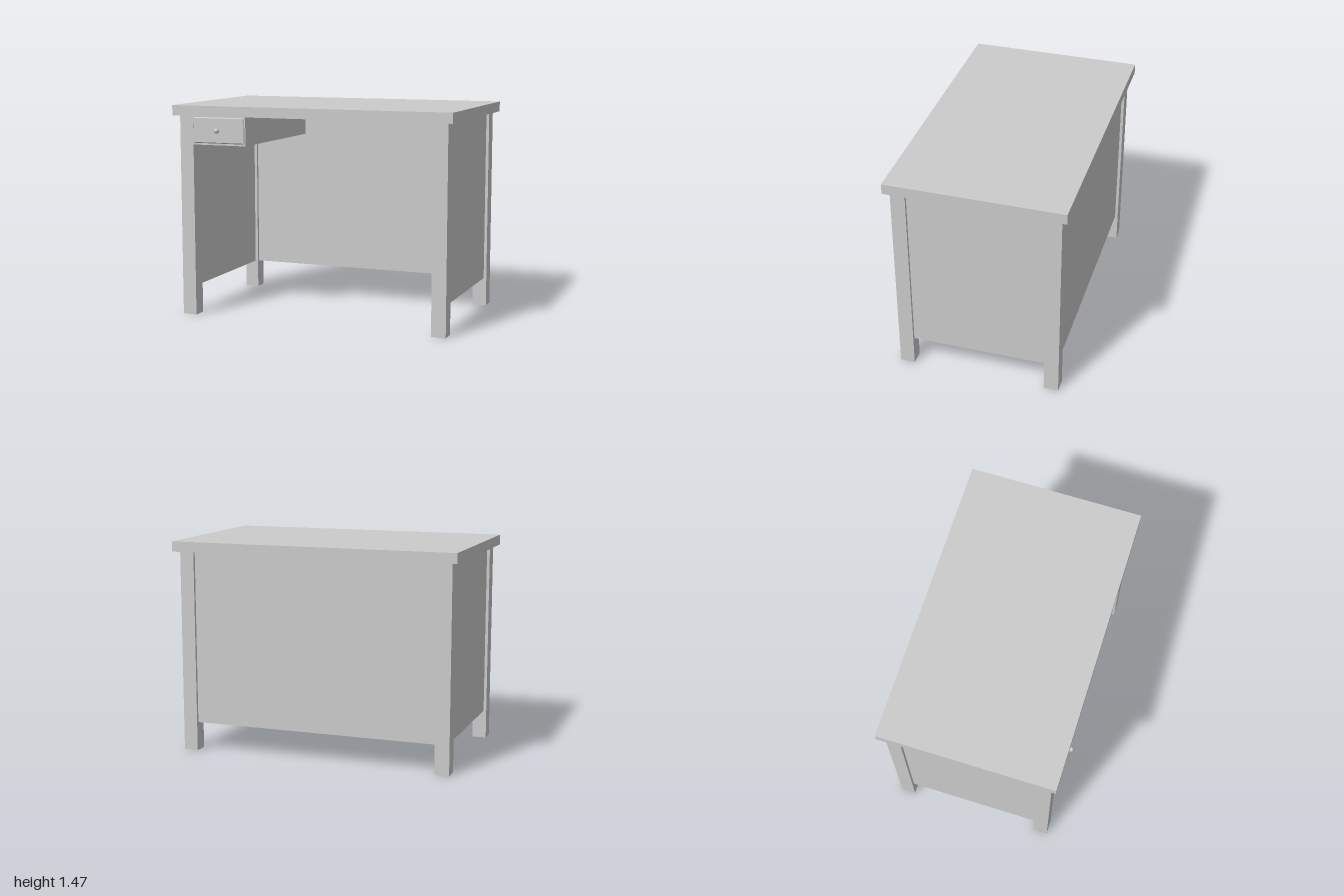
import * as THREE from 'three';

const material = new THREE.MeshStandardMaterial({ color: 0xcccccc });

function add(parent, name, geometry, x = 0, y = 0, z = 0) {
  const mesh = new THREE.Mesh(geometry, material);
  mesh.name = name;
  mesh.position.set(x, y, z);
  parent.add(mesh);
  return mesh;
}

// Box given by its lower and upper limits on each axis
function block(parent, name, [x0, x1], [y0, y1], [z0, z1]) {
  return add(parent, name, new THREE.BoxGeometry(x1 - x0, y1 - y0, z1 - z0),
    (x0 + x1) / 2, (y0 + y1) / 2, (z0 + z1) / 2);
}

export function createModel() {
  const desk = new THREE.Group();
  desk.name = 'desk';

  block(desk, 'tableTop', [-1, 1], [1.4, 1.47], [-0.61, 0.59]);

  // Legs and side panels, mirrored left and right
  for (const [side, s] of [['left', 1], ['right', -1]]) {
    for (const [end, z] of [['Front', 0.503], ['Back', -0.52]]) {
      add(desk, side + end + 'Leg', new THREE.BoxGeometry(0.1, 1.4, 0.1), s * 0.91, 0.7, z);
    }
    add(desk, side + 'Panel', new THREE.BoxGeometry(0.06, 1.2, 0.923), s * 0.91, 0.8, -0.0085);
  }
  block(desk, 'backPanel', [-0.86, 0.86], [0.2, 1.4], [-0.55, -0.49]);

  // Drawer under the top, at the right
  const drawer = new THREE.Group();
  drawer.name = 'drawer';
  desk.add(drawer);
  block(drawer, 'drawerCase', [-0.86, -0.465], [1.2, 1.4], [-0.49, 0.552]);

  // Raised drawer front with a narrow bevelled edge
  const w = 0.186, h = 0.083;
  const outline = new THREE.Shape([
    new THREE.Vector2(-w, -h), new THREE.Vector2(w, -h),
    new THREE.Vector2(w, h), new THREE.Vector2(-w, h),
  ]);
  const front = new THREE.ExtrudeGeometry(outline, {
    depth: 0.005, bevelThickness: 0.005, bevelSize: 0.006, bevelSegments: 1,
  });
  add(drawer, 'drawerFront', front, -0.664, 1.302, 0.553);

  // Knob on a thin stem
  const stem = new THREE.CylinderGeometry(0.006, 0.006, 0.03, 12).rotateX(Math.PI / 2);
  add(drawer, 'knobStem', stem, -0.663, 1.302, 0.573);
  add(drawer, 'knob', new THREE.SphereGeometry(0.018, 16, 12), -0.663, 1.302, 0.594);

  return desk;
}
